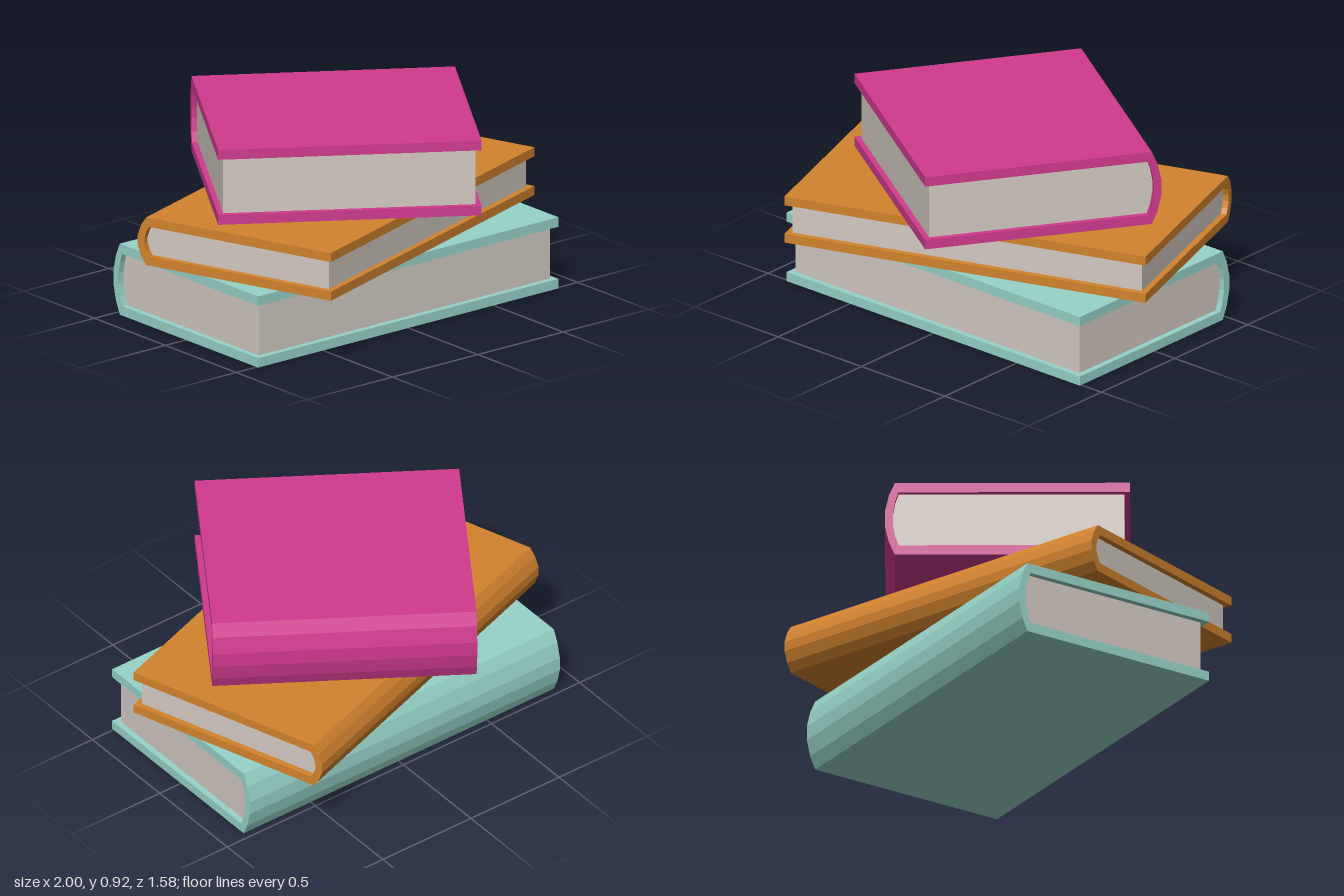
import * as THREE from 'three';

// Spine curve from top to bottom: [z, y] points bulging backwards from z
function spineCurve(z, yMid, halfHeight, bulge) {
  return [[1, 0], [0.65, 0.6], [0.2, 1], [-0.2, 1], [-0.65, 0.6], [-1, 0]]
    .map(([t, b]) => [z - bulge * b, yMid + halfHeight * t]);
}

// Extrudes a [z, y] outline along x, centred on x = 0
function extrudeAlongX(points, length) {
  const shape = new THREE.Shape(points.map(([z, y]) => new THREE.Vector2(z, y)));
  const geometry = new THREE.ExtrudeGeometry(shape, { depth: length, bevelEnabled: false });
  geometry.translate(0, 0, -length / 2);
  geometry.rotateY(-Math.PI / 2);
  return geometry;
}

function makeMesh(name, geometry, color) {
  const mesh = new THREE.Mesh(geometry, new THREE.MeshStandardMaterial({ color, flatShading: true }));
  mesh.name = name;
  return mesh;
}

// A hardback lying flat, spine at the back (-z)
function makeBook({ name, length, depth, height, board, inset, color, y, turn }) {
  const book = new THREE.Group();
  book.name = name;
  const front = depth / 2;
  const mid = height / 2;
  const outer = spineCurve(-front + 0.045, mid, mid, 0.045);
  const inner = spineCurve(-front + 0.062, mid, mid - board, 0.026);

  // Boards and spine in one C-shaped section
  const cover = [
    [front, height], ...outer, [front, 0],
    [front, board], ...inner.slice().reverse(), [front, height - board],
  ];
  book.add(makeMesh(name + 'Cover', extrudeAlongX(cover, length), color));

  // Page block, set back from the board edges
  const pages = [[front - inset, height - board], ...inner, [front - inset, board]];
  book.add(makeMesh(name + 'Pages', extrudeAlongX(pages, length - 2 * inset), 0xd2c9c1));

  book.position.y = y;
  book.rotation.y = THREE.MathUtils.degToRad(turn);
  return book;
}

export function createModel() {
  const model = new THREE.Group();
  model.name = 'bookStack';
  const books = [
    { name: 'bottomBook', length: 1.76, depth: 1.02, height: 0.338, board: 0.045, inset: 0.028, color: 0x96d2c8, y: 0, turn: 0 },
    { name: 'middleBook', length: 1.76, depth: 1.02, height: 0.227, board: 0.043, inset: 0.028, color: 0xd2832d, y: 0.338, turn: 18.9 },
    { name: 'topBook', length: 1.195, depth: 1.105, height: 0.355, board: 0.046, inset: 0.025, color: 0xd03a8e, y: 0.565, turn: -33.2 },
  ];
  for (const spec of books) model.add(makeBook(spec));
  return model;
}
